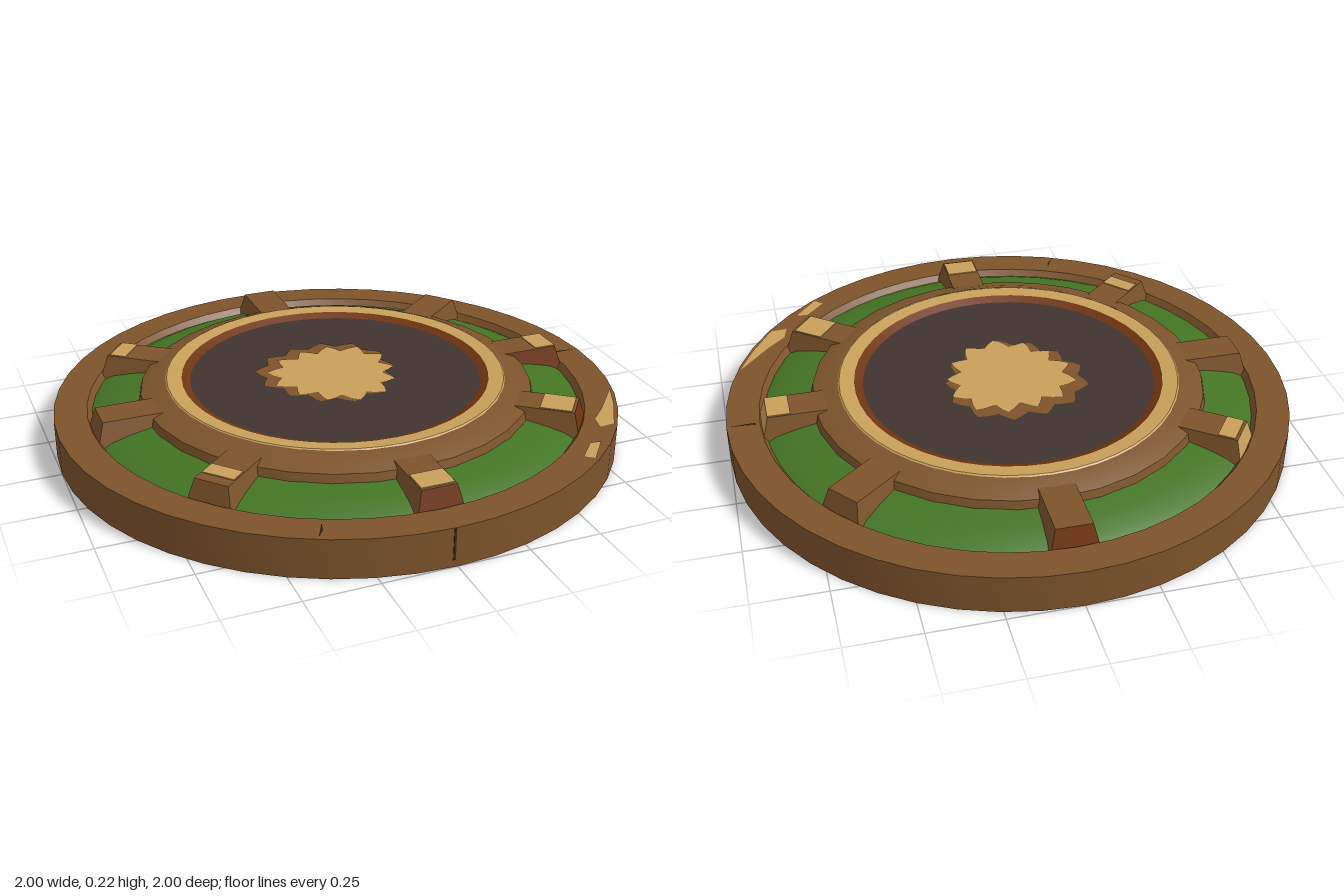
import * as THREE from 'three';
import { toCreasedNormals } from 'three/addons/utils/BufferGeometryUtils.js';

const paint = (name, color) => {
  const m = new THREE.MeshStandardMaterial({ color });
  m.name = name;
  return m;
};

export function createModel() {
  const brown = paint('brown stone', 0x7d542b);
  const tan = paint('worn tan', 0xc9a05a);
  const green = paint('moss green', 0x437522);
  const dark = paint('dark slate', 0x40342f);
  const rust = paint('rust brown', 0x703510);
  const crackDark = paint('crack brown', 0x3a2612);

  const model = new THREE.Group();
  model.name = 'roundStonePlatform';
  const add = (name, geo, mat, parent = model) => {
    const mesh = new THREE.Mesh(geo, mat);
    mesh.name = name;
    parent.add(mesh);
    return mesh;
  };
  const lathe = (name, pts, mat, sides = 48) => add(name, toCreasedNormals(
    new THREE.LatheGeometry(pts.map(p => new THREE.Vector2(...p)), sides), 0.3), mat);

  // Base disc with a raised rim, and the moss bed inside it
  lathe('base', [[0, 0], [1, 0], [1, 0.138], [0.885, 0.138], [0.865, 0.108]], brown);
  lathe('mossBed', [[0.878, 0.11], [0.84, 0.128], [0.77, 0.145], [0.69, 0.158]], green);

  // Raised inner ring, its worn lip and the sunken slate disc
  lathe('innerRing', [[0.715, 0.11], [0.695, 0.185], [0.62, 0.214], [0.6, 0.216]], brown, 32);
  const middle = [
    lathe('wornLip', [[0.606, 0.214], [0.6, 0.219], [0.545, 0.214]], tan),
    lathe('rustEdge', [[0.547, 0.215], [0.515, 0.2]], rust),
    lathe('slateDisc', [[0.518, 0.201], [0, 0.201]], dark),
  ];
  middle.forEach(m => { m.position.z = -0.008; });

  // Flat outline laid on a horizontal surface; points are [x, z]
  const plate = (name, pts, y, mat) => {
    const shape = new THREE.Shape(pts.map(([x, z]) => new THREE.Vector2(x, -z)));
    const mesh = add(name, new THREE.ShapeGeometry(shape).rotateX(-Math.PI / 2), mat);
    mesh.position.y = y;
    return mesh;
  };

  // Ragged central star: brown border below, tan patch above
  const star = (radius, dip, cx, cz) => {
    const pts = [];
    const points = 13;
    for (let i = 0; i < points * 4; i++) {
      const a = (i / (points * 4)) * Math.PI * 2;
      const r = radius + dip * Math.cos(a * points) + 0.012 * Math.sin(a * 3 + 1);
      pts.push([cx + r * Math.sin(a), cz + r * Math.cos(a)]);
    }
    return pts;
  };
  plate('starBorder', star(0.235, 0.018, -0.015, -0.035), 0.2035, brown);
  plate('star', star(0.208, 0.024, 0, -0.012), 0.2065, tan);

  // Eight tapered spokes: [angle, outer end, -x side, worn cap start, worn cap end]
  const spokes = [
    [0, rust, brown, 0.76, 0.85],
    [52, rust, brown, 0.74, 0.85],
    [90, tan, rust, 0.78, 0.86],
    [129, brown, brown],
    [180, rust, brown],
    [233, tan, brown, 0.79, 0.85],
    [270, brown, brown],
    [312, brown, brown, 0.76, 0.82],
  ];
  for (const [deg, end, side, capStart, capEnd] of spokes) {
    const spoke = new THREE.Group();
    spoke.name = 'spoke';
    spoke.rotation.y = THREE.MathUtils.degToRad(deg);
    model.add(spoke);
    const geo = new THREE.BoxGeometry(0.17, 0.1, 0.235);
    const p = geo.attributes.position;
    for (let i = 0; i < p.count; i++) {
      if (p.getY(i) > 0) {
        p.setX(i, p.getX(i) * 0.72);
        if (p.getZ(i) > 0) p.setZ(i, p.getZ(i) - 0.028);
      }
    }
    geo.translate(0, 0.15, 0.77);
    const body = geo.toNonIndexed();
    body.computeVertexNormals();
    add('spokeBlock', body, [brown, side, brown, brown, end, brown], spoke);
    if (capStart) {
      const cap = new THREE.BoxGeometry(0.115, 0.004, capEnd - capStart);
      cap.translate(0, 0.2015, (capStart + capEnd) / 2);
      add('wornCap', cap, tan, spoke);
    }
  }

  // Worn patches on the rim
  plate('rimPatch', [[0.925, 0.35], [0.87, 0.465], [0.79, 0.595], [0.73, 0.6],
    [0.745, 0.54], [0.81, 0.48]], 0.141, tan);
  plate('rimPatch', [[0.68, 0.69], [0.6, 0.785], [0.57, 0.76], [0.64, 0.685]], 0.141, tan);

  // Cracks in the rim
  plate('rimCrack', [[-0.375, 0.83], [-0.41, 0.9], [-0.385, 0.87]], 0.141, crackDark);
  plate('rimCrack', [[0.99, 0.0], [0.9, -0.008], [0.9, 0.004]], 0.141, crackDark);
  const crack = add('frontCrack', new THREE.BoxGeometry(0.008, 0.11, 0.006), crackDark);
  crack.position.set(-0.012, 0.08, 0.998);

  return model;
}
